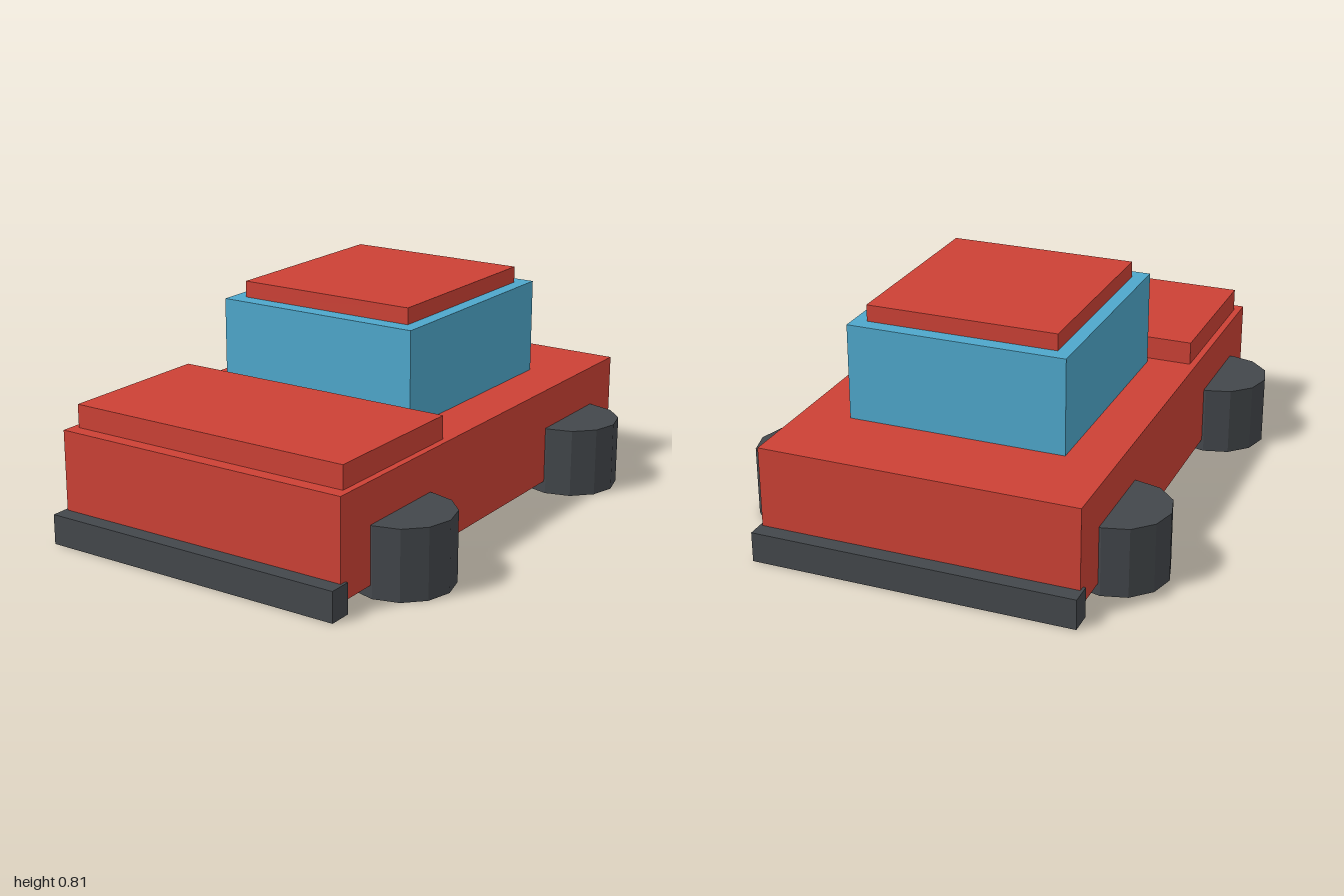
import * as THREE from 'three';

export function createModel() {
  const car = new THREE.Group();
  car.name = 'car';

  const paint = (name, color) => {
    const material = new THREE.MeshStandardMaterial({ color });
    material.name = name;
    return material;
  };
  const red = paint('red paint', 0xcc4135);
  const blue = paint('blue glass', 0x4ea7cb);
  const dark = paint('dark rubber', 0x43474b);

  // Box centred on x, given by its width and its y and z ranges
  const addBox = (name, material, width, [y0, y1], [z0, z1]) => {
    const mesh = new THREE.Mesh(new THREE.BoxGeometry(width, y1 - y0, z1 - z0), material);
    mesh.position.set(0, (y0 + y1) / 2, (z0 + z1) / 2);
    mesh.name = name;
    car.add(mesh);
  };

  // Body, hood, cabin and roof
  addBox('body', red, 1.16, [0.045, 0.405], [-0.94, 0.94]);
  addBox('hood', red, 1.11, [0.405, 0.49], [0.29, 0.89]);
  addBox('cabin', blue, 0.8, [0.405, 0.755], [-0.61, 0.255]);
  addBox('roof', red, 0.7, [0.755, 0.815], [-0.555, 0.195]);

  // Bumpers
  addBox('frontBumper', dark, 1.18, [0, 0.11], [0.915, 1]);
  addBox('rearBumper', dark, 1.18, [0, 0.11], [-1, -0.915]);

  // Wheels: upright twelve-sided drums with faceted sides
  const wheelGeometry = new THREE.CylinderGeometry(0.183, 0.183, 0.255, 12).toNonIndexed();
  wheelGeometry.computeVertexNormals();
  for (const [side, x] of [['Left', 0.588], ['Right', -0.588]]) {
    for (const [end, z] of [['front', 0.59], ['rear', -0.59]]) {
      const wheel = new THREE.Mesh(wheelGeometry, dark);
      wheel.position.set(x, 0.1275, z);
      wheel.name = `${end}${side}Wheel`;
      car.add(wheel);
    }
  }

  return car;
}
